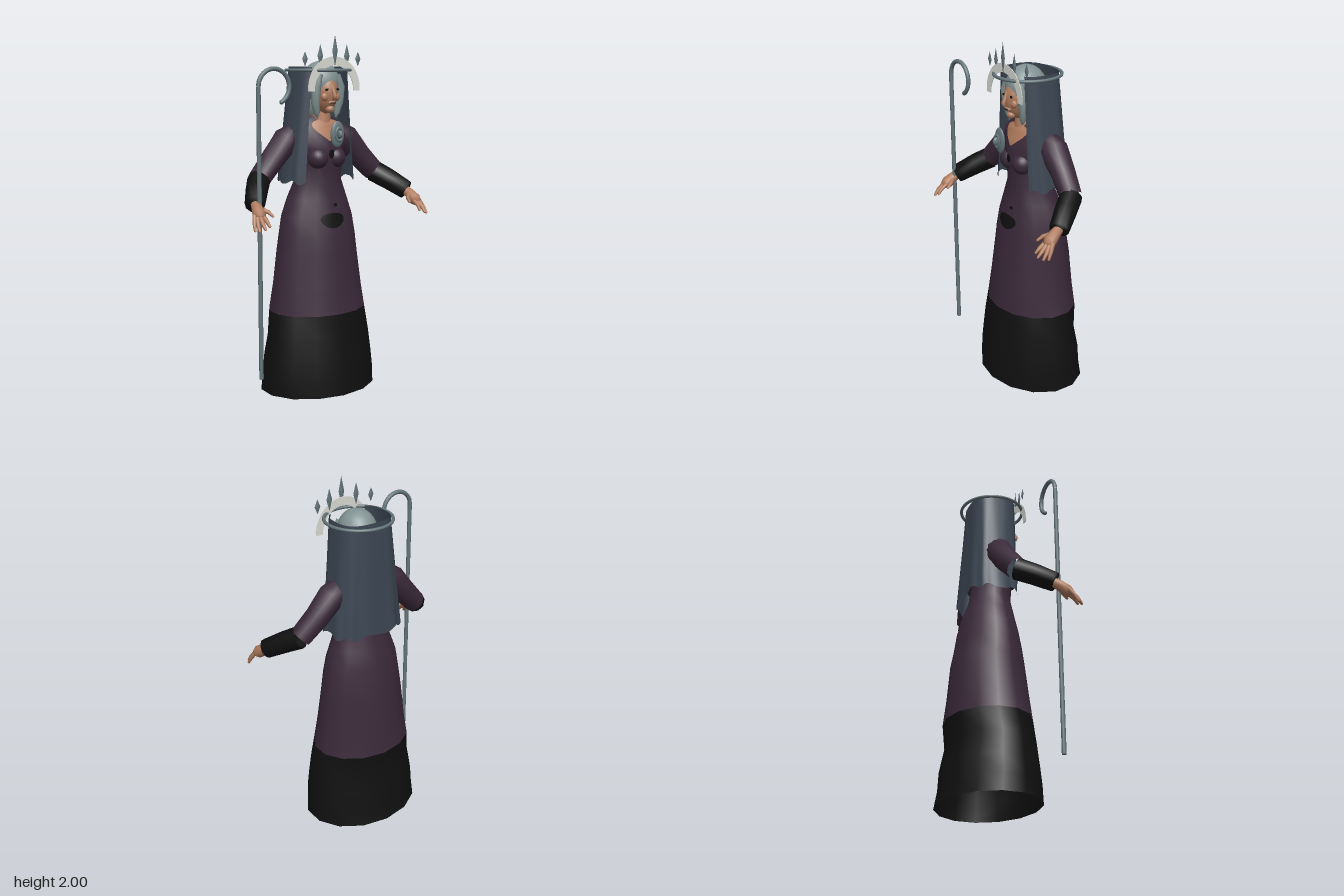
import * as THREE from 'three';

const mat = (name, color, side = THREE.FrontSide) => {
  const m = new THREE.MeshStandardMaterial({ color, side });
  m.name = name;
  return m;
};

export function createModel() {
  const model = new THREE.Group();
  model.name = 'robedWoman';
  const purple = mat('purpleCloth', 0x3b2a3a);
  const black = mat('blackCloth', 0x101010, THREE.DoubleSide);
  const blue = mat('veilCloth', 0x3c4653, THREE.DoubleSide);
  const metal = mat('greyMetal', 0x64757a);
  const hairGrey = mat('greyHair', 0x829292);
  const skin = mat('skin', 0xb07c5f);
  const white = mat('whiteBand', 0xdcdcd6, THREE.DoubleSide);

  const add = (name, geometry, material, pos = [0, 0, 0], scale = [1, 1, 1], parent = model) => {
    const mesh = new THREE.Mesh(geometry, material);
    mesh.name = name;
    mesh.position.set(...pos);
    mesh.scale.set(...scale);
    parent.add(mesh);
    return mesh;
  };
  const ball = (name, material, pos, scale, parent) =>
    add(name, new THREE.SphereGeometry(1, 24, 16), material, pos, scale, parent);

  // Skin a list of rings, each an array of [x, y, z]
  const loft = (rings, closed = true) => {
    const n = rings[0].length, index = [];
    for (let i = 0; i < rings.length - 1; i++) {
      for (let j = 0; j < (closed ? n : n - 1); j++) {
        const k = (j + 1) % n, a = i * n + j, b = i * n + k;
        index.push(a, b, a + n, b, b + n, a + n);
      }
    }
    const g = new THREE.BufferGeometry();
    g.setAttribute('position', new THREE.Float32BufferAttribute(rings.flat(2), 3));
    g.setIndex(index);
    g.computeVertexNormals();
    return g;
  };

  // Tapered limb through points [x, y, z, radius]
  const limb = (points, sides = 10) => {
    const p = points.map(q => new THREE.Vector3(q[0], q[1], q[2]));
    return loft(p.map((c, i) => {
      const dir = p[Math.min(i + 1, p.length - 1)].clone().sub(p[Math.max(i - 1, 0)]).normalize();
      const q = new THREE.Quaternion().setFromUnitVectors(new THREE.Vector3(0, 0, 1), dir);
      return Array.from({ length: sides }, (_, j) => {
        const t = j / sides * Math.PI * 2;
        return new THREE.Vector3(Math.cos(t), Math.sin(t), 0)
          .multiplyScalar(points[i][3]).applyQuaternion(q).add(c).toArray();
      });
    }));
  };

  // Dress sections: height, half width, front z, back z
  const rows = [
    [0, .352, .25, -.305], [.1, .347, .245, -.285], [.2, .337, .235, -.28], [.33, .317, .22, -.252],
    [.46, .297, .205, -.268], [.6, .272, .188, -.252], [.8, .246, .165, -.235], [.9, .236, .15, -.215],
    [1, .22, .132, -.2], [1.1, .184, .112, -.175], [1.2, .142, .095, -.14], [1.3, .134, .105, -.125],
    [1.38, .15, .11, -.12], [1.45, .172, .092, -.125], [1.52, .15, .065, -.115], [1.56, .07, .035, -.06],
  ];
  const bodyRing = ([y, w, f, b]) => Array.from({ length: 14 }, (_, j) => {
    const t = j / 14 * Math.PI * 2;
    return [w * Math.sin(t), y, (f + b) / 2 + (f - b) / 2 * Math.cos(t)];
  });
  add('skirtHem', loft(rows.slice(0, 5).map(bodyRing)), black);
  add('dress', loft(rows.slice(4).map(bodyRing)), purple);
  for (const s of [-1, 1]) ball('bust', purple, [s * .058, 1.33, .065], [.058, .06, .062]);

  // Thin patches that follow the front of the dress
  const bodyFront = (x, y) => {
    const i = Math.max(1, rows.findIndex(r => r[0] >= y)), a = rows[i - 1], b = rows[i];
    const [w, f, k] = [1, 2, 3].map(c => THREE.MathUtils.lerp(a[c], b[c], (y - a[0]) / (b[0] - a[0])));
    return (f + k) / 2 + (f - k) / 2 * Math.sqrt(Math.max(0, 1 - (x / w) ** 2));
  };
  const patch = (name, material, shape, lift = .005) => {
    const g = new THREE.RingGeometry(0.001, 1, 28, 5), p = g.attributes.position;
    for (let i = 0; i < p.count; i++) {
      const [x, y] = shape(p.getX(i), p.getY(i));
      p.setXYZ(i, x, y, bodyFront(x, y) + lift);
    }
    g.computeVertexNormals();
    add(name, g, material);
  };
  patch('bellyPatch', black, (x, y) => [x * .076 * (1 + .2 * y), .985 + y * .042]);
  patch('smallPatch', black, (x, y) => [.025 + x * .013, 1.07 + y * .01]);
  patch('chestPatch', black, (x, y) => [x * .017, 1.355 + y * .025], .012);
  patch('neckline', skin, (x, y) => [x * .075 * (1 + .75 * y), 1.485 + y * .06], .008);

  // Arms, mirrored
  for (const s of [-1, 1]) {
    const arm = new THREE.Group();
    arm.name = s > 0 ? 'leftArm' : 'rightArm';
    model.add(arm);
    const m = pts => limb(pts.map(([x, y, z, r]) => [x * s, y, z, r]));
    add('sleeve', m([[.09, 1.47, -.04, .04], [.14, 1.455, -.04, .07], [.2, 1.425, -.04, .078],
      [.29, 1.325, -.035, .068], [.385, 1.225, -.015, .062]]), purple, undefined, undefined, arm);
    add('cuff', m([[.385, 1.225, -.015, .063], [.44, 1.18, .06, .06], [.503, 1.12, .15, .054],
      [.505, 1.118, .153, .003]]), black, undefined, undefined, arm);
    add('palm', m([[.495, 1.125, .14, .026], [.505, 1.105, .175, .03], [.513, 1.075, .215, .036],
      [.518, 1.06, .235, .026], [.52, 1.055, .24, .003]]), skin, undefined, undefined, arm);
    const fingers = [
      [[.54, 1.075, .215], [.555, 1.035, .24], [.562, 1, .258]],
      [[.53, 1.068, .225], [.545, 1.03, .26], [.548, 1, .282]],
      [[.515, 1.068, .23], [.523, 1.035, .272], [.522, 1.008, .298]],
      [[.498, 1.072, .225], [.497, 1.045, .268], [.492, 1.02, .29]],
      [[.49, 1.1, .19], [.46, 1.085, .22], [.45, 1.065, .25]],
    ];
    for (const [a, b, c] of fingers)
      add('finger', m([[...a, .013], [...b, .011], [...c, .007], [c[0], c[1] - .004, c[2] + .004, .001]]),
        skin, undefined, undefined, arm);
  }

  // Neck, head and face
  add('neck', new THREE.CylinderGeometry(.045, .06, .15, 16), skin, [0, 1.55, .015]);
  const head = new THREE.SphereGeometry(1, 28, 20), hp = head.attributes.position;
  for (let i = 0; i < hp.count; i++) {
    const y = hp.getY(i);
    hp.setX(i, hp.getX(i) * (y < 0 ? 1 + .2 * y : 1));
  }
  head.computeVertexNormals();
  add('head', head, skin, [0, 1.69, .035], [.074, .12, .1]);
  add('nose', limb([[0, 1.735, .126, .005], [0, 1.7, .138, .009], [0, 1.672, .15, .013],
    [0, 1.66, .148, .01], [0, 1.655, .13, .003]]), skin);
  for (const s of [-1, 1]) {
    ball('eye', black, [s * .033, 1.708, .123], [.014, .007, .004]);
    ball('cheek', skin, [s * .036, 1.668, .108], [.024, .024, .017]);
  }
  ball('chin', skin, [0, 1.6, .1], [.025, .022, .025]);
  ball('lips', skin, [0, 1.635, .122], [.024, .013, .012]);
  ball('mouth', black, [0, 1.635, .133], [.02, .003, .004]);

  // Hair
  ball('hairCap', hairGrey, [0, 1.742, .004], [.105, .12, .116]);
  ball('backHair', hairGrey, [0, 1.67, -.055], [.12, .15, .085]);
  for (const s of [-1, 1])
    add('hairLock', limb([[s * .055, 1.79, .085, .02], [s * .078, 1.72, .085, .026], [s * .078, 1.64, .075, .025],
      [s * .066, 1.58, .07, .018], [s * .06, 1.55, .07, .002]]), hairGrey);

  // Veil: open in front and at the top, with a rippled hem
  const veil = Array.from({ length: 9 }, (_, i) => {
    const v = i / 8, low = 1 - v;
    return Array.from({ length: 49 }, (_, j) => {
      const t = THREE.MathUtils.lerp(.66, Math.PI * 2 - .66, j / 48);
      const pow = a => Math.sign(a) * Math.abs(a) ** .7;
      const fold = 1 + .025 * low * Math.sin(t * 11);
      return [
        (.155 + .06 * low) * fold * pow(Math.sin(t)),
        1.2 + .63 * v + .012 * low * Math.sin(t * 9),
        -.02 - .018 * low + (.132 + .02 * low) * fold * pow(Math.cos(t)),
      ];
    });
  });
  add('veil', loft(veil, false), blue);

  // Headdress: flat arch, spikes and halo ring
  const arch = new THREE.Shape();
  arch.moveTo(.165, 1.7);
  arch.absellipse(0, 1.715, .167, .17, -.09, Math.PI + .09, false);
  arch.absellipse(0, 1.7, .127, .137, Math.PI, 0, true);
  add('whiteArch', new THREE.ExtrudeGeometry(arch, { depth: .004, bevelEnabled: false, curveSegments: 28 }),
    white, [0, 0, .142]);
  for (const [x, y, h, z] of [[0, 1.915, .085, .15], [.086, 1.888, .063, .137], [.172, 1.872, .04, .12]])
    for (const s of x ? [-1, 1] : [1])
      add('crownSpike', new THREE.OctahedronGeometry(1), metal, [s * x, y, z], [.018, h, .005]);
  const halo = add('haloRing', new THREE.TorusGeometry(.183, .009, 10, 56), metal, [0, 1.812, -.008]);
  halo.rotation.x = Math.PI / 2;

  // Brooch
  ball('broochPlate', metal, [0, 1.468, .175], [.044, .073, .016]);
  add('broochRing', new THREE.TorusGeometry(.022, .006, 8, 28), metal, [0, 1.468, .194], [1, 1.55, 1]);
  ball('broochBoss', metal, [0, 1.468, .198], [.013, .024, .022]);

  // Crook staff held beside the right hand
  add('staffPole', new THREE.CylinderGeometry(.012, .012, 1.56, 12), metal, [-.49, .95, .178]);
  const hook = Array.from({ length: 15 }, (_, i) => {
    const a = Math.PI - i / 14 * 4.2;
    return new THREE.Vector3(-.398 + .092 * Math.cos(a), 1.73 + .092 * Math.sin(a), .178);
  });
  add('staffCrook', new THREE.TubeGeometry(new THREE.CatmullRomCurve3(hook), 40, .012, 12), metal);
  const tip = hook[14];
  ball('crookTip', metal, [tip.x, tip.y, tip.z], [.012, .012, .012]);

  return model;
}
